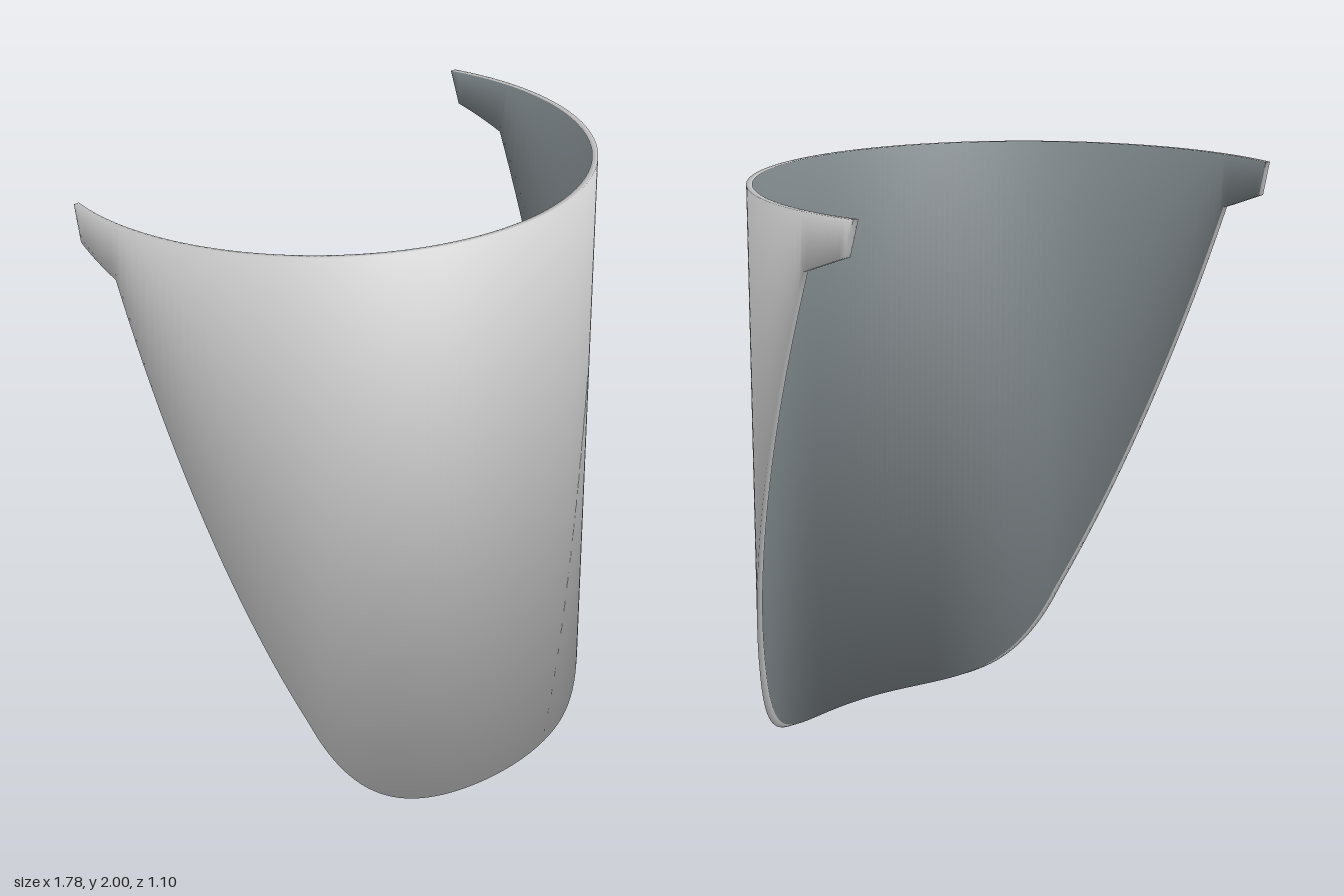
import * as THREE from 'three';

const CENTRE_Z = -0.34;
const OUTER = 0.892;
const INNER = 0.873;
const FRONT = CENTRE_Z + OUTER;

// Side profile of the lower edge: rounded chin, straight cheek, short tab at the back
const EDGE = [[0.24, 0.36], [-0.34, 1.82], [-0.52, 1.885], [-FRONT, 2]];
const STEPS = [36, 24, 8, 4];

function edgeHeight(z) {
  const [chinZ, chinY] = EDGE[0];
  if (z >= chinZ) return chinY * Math.pow(Math.max(0, (FRONT - z) / (FRONT - chinZ)), 2.52);
  for (let i = 1; i < EDGE.length; i++) {
    const [z0, y0] = EDGE[i - 1], [z1, y1] = EDGE[i];
    if (z >= z1) return y0 + (y1 - y0) * (z0 - z) / (z0 - z1);
  }
  return 2;
}

// Direction the lower rim faces: down and backwards, square to the profile
function rimNormal(z) {
  const h = 0.002;
  const slope = (edgeHeight(z + h) - edgeHeight(z - h)) / (2 * h);
  return new THREE.Vector3(0, -1, slope).normalize();
}

// Angles from the front round to one end, with a column at every corner of the profile
function halfAngles(r) {
  const angles = [0];
  let from = 0;
  EDGE.forEach(([z], i) => {
    const to = Math.acos((z - CENTRE_Z) / r);
    for (let k = 1; k <= STEPS[i]; k++) angles.push(from + (to - from) * k / STEPS[i]);
    from = to;
  });
  return angles;
}

// Lower and upper edge lines of a wall, from -x to +x; side is 1 facing out, -1 facing in.
// Normals are shared evenly between wall and rim, so the edges shade softly.
function wallLines(r, side) {
  const half = halfAngles(r);
  const low = [], high = [];
  for (const a of [...half.slice(1).reverse().map((v) => -v), ...half]) {
    const x = r * Math.sin(a), z = CENTRE_Z + r * Math.cos(a);
    const wall = new THREE.Vector3(Math.sin(a), 0, Math.cos(a)).multiplyScalar(side);
    const down = rimNormal(z).add(wall).normalize();
    const up = new THREE.Vector3(0, 1, 0).add(wall).normalize();
    low.push({ point: [x, edgeHeight(z), z], normal: down.toArray() });
    high.push({ point: [x, 2, z], normal: up.toArray() });
  }
  return { low, high };
}

// Surface between two lines of points
function strip(a, b) {
  const index = [], n = a.length, all = [...a, ...b];
  for (let i = 0; i < n - 1; i++) {
    index.push(i, i + 1, n + i + 1, i, n + i + 1, n + i);
  }
  const g = new THREE.BufferGeometry();
  g.setAttribute('position', new THREE.Float32BufferAttribute(all.flatMap((v) => v.point), 3));
  g.setAttribute('normal', new THREE.Float32BufferAttribute(all.flatMap((v) => v.normal), 3));
  g.setIndex(index);
  return g;
}

export function createModel() {
  const model = new THREE.Group();
  model.name = 'visorShield';
  const grey = new THREE.MeshStandardMaterial({ color: 0xcccccc });
  const slate = new THREE.MeshStandardMaterial({ color: 0x777f82 });
  const add = (name, geometry, material) => {
    const mesh = new THREE.Mesh(geometry, material);
    mesh.name = name;
    model.add(mesh);
  };

  const outer = wallLines(OUTER, 1);
  const inner = wallLines(INNER, -1);

  // Curved walls, with a darker lining
  add('outerWall', strip(outer.low, outer.high), grey);
  add('innerWall', strip(inner.high, inner.low), slate);

  // Thin rims closing the shell
  add('topRim', strip(outer.high, inner.high), grey);
  add('lowerRim', strip(inner.low, outer.low), grey);

  return model;
}
